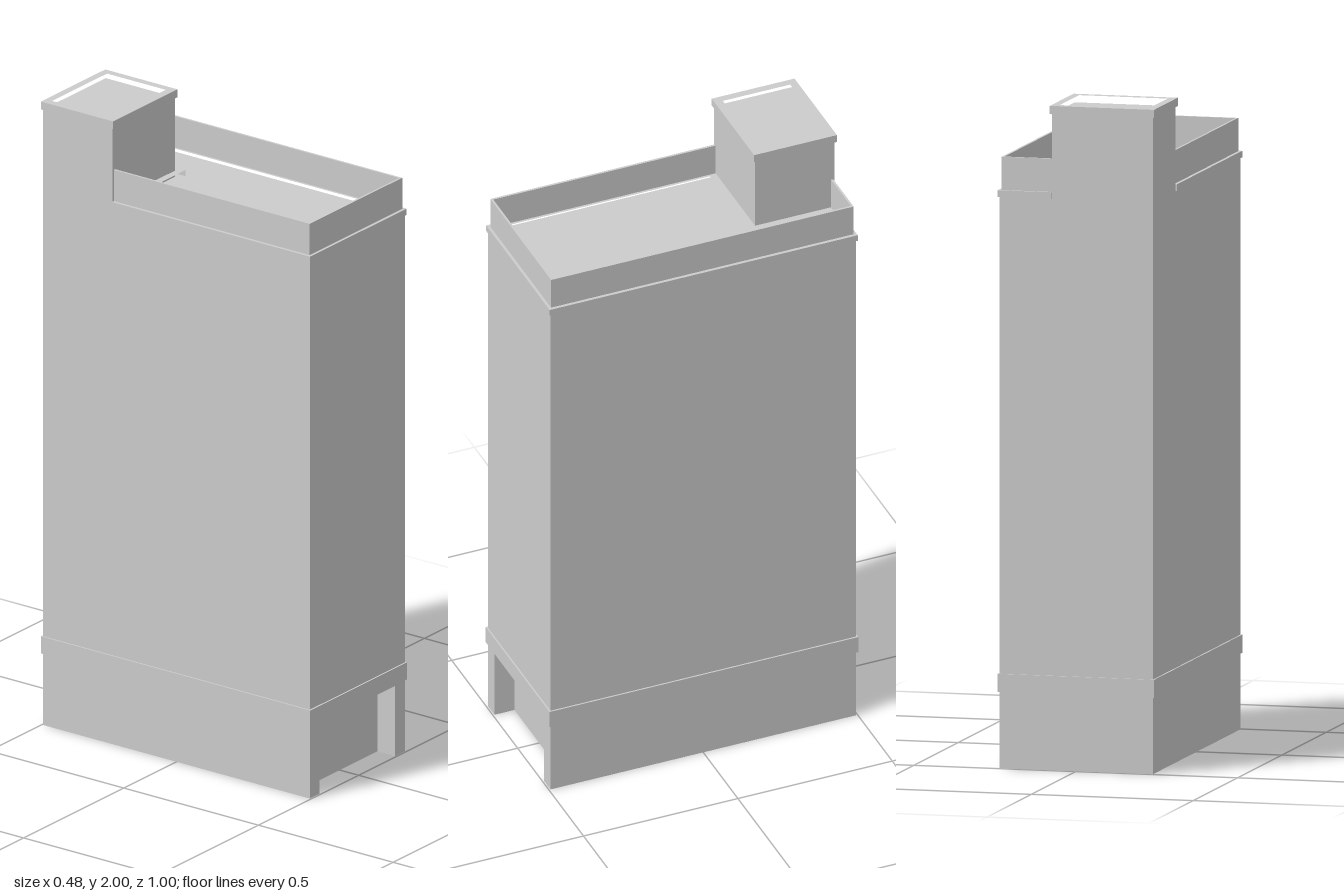
import * as THREE from 'three';

const material = new THREE.MeshStandardMaterial({ color: 0xcccccc, flatShading: true });

// Corner list of a rectangle in plan, as [x, z]
const rect = (x0, x1, z0, z1) => [[x0, z0], [x1, z0], [x1, z1], [x0, z1]];
const toPoints = (plan) => plan.map(([x, z]) => new THREE.Vector2(x, -z));

// Extrudes a plan outline (with optional hole) from y0 up to y1
function prism(name, plan, y0, y1, hole) {
  const shape = new THREE.Shape(toPoints(plan));
  if (hole) shape.holes.push(new THREE.Path(toPoints(hole)));
  const geometry = new THREE.ExtrudeGeometry(shape, { depth: y1 - y0, bevelEnabled: false });
  geometry.rotateX(-Math.PI / 2).translate(0, y0, 0);
  const mesh = new THREE.Mesh(geometry, material);
  mesh.name = name;
  return mesh;
}

// Rectangle with its back right corner cut away at (cx, cz)
const notched = (x, z, cx, cz) => [[cx, -z], [x, -z], [x, z], [-x, z], [-x, cz], [cx, cz]];

export function createModel() {
  const model = new THREE.Group();
  model.name = 'building';
  const W = 0.237, D = 0.495;      // half width and half depth of the body
  const baseTop = 0.225, roof = 1.72;
  const tx = 0.075, tz = -0.237;   // inner corner of the stair tower

  // Hollow ground floor: side and back walls, open at the front and below
  model.add(prism('groundFloorWalls', [
    [-W, -D], [W, -D], [W, D], [0.188, D], [0.188, -0.447],
    [-0.188, -0.447], [-0.188, D], [-W, D],
  ], 0, baseTop));
  // Recessed entrance wall
  model.add(prism('entranceWall', rect(-0.188, 0.188, 0.426, 0.43), 0, baseTop));

  // Main block and the band above the ground floor
  model.add(prism('mainBlock', rect(-W, W, -D, D), baseTop, roof));
  model.add(prism('lowerBand', rect(-0.242, 0.242, -0.5, 0.5), 0.23, 0.285,
    rect(-0.23, 0.23, -0.488, 0.488)));

  // Roof ledge running round the edge and round the tower
  model.add(prism('roofLedge', notched(0.241, 0.499, tx, tz), roof, 1.74,
    notched(0.216, 0.476, 0.097, -0.215)));

  // Thin parapet, stopping at the tower on both sides
  model.add(prism('parapet', [
    [tx, -0.49], [0.231, -0.49], [0.231, 0.49], [-0.231, 0.49], [-0.231, tz],
    [-0.224, tz], [-0.224, 0.483], [0.224, 0.483], [0.224, -0.483], [tx, -0.483],
  ], 1.74, 1.84));

  // Stair tower with a raised rim round its roof
  model.add(prism('towerShaft', rect(-W, tx, -D, tz), roof, 1.975));
  model.add(prism('towerRim', rect(-0.242, 0.08, -0.5, -0.232), 1.975, 2,
    rect(-0.218, 0.056, -0.476, -0.258)));
  return model;
}
